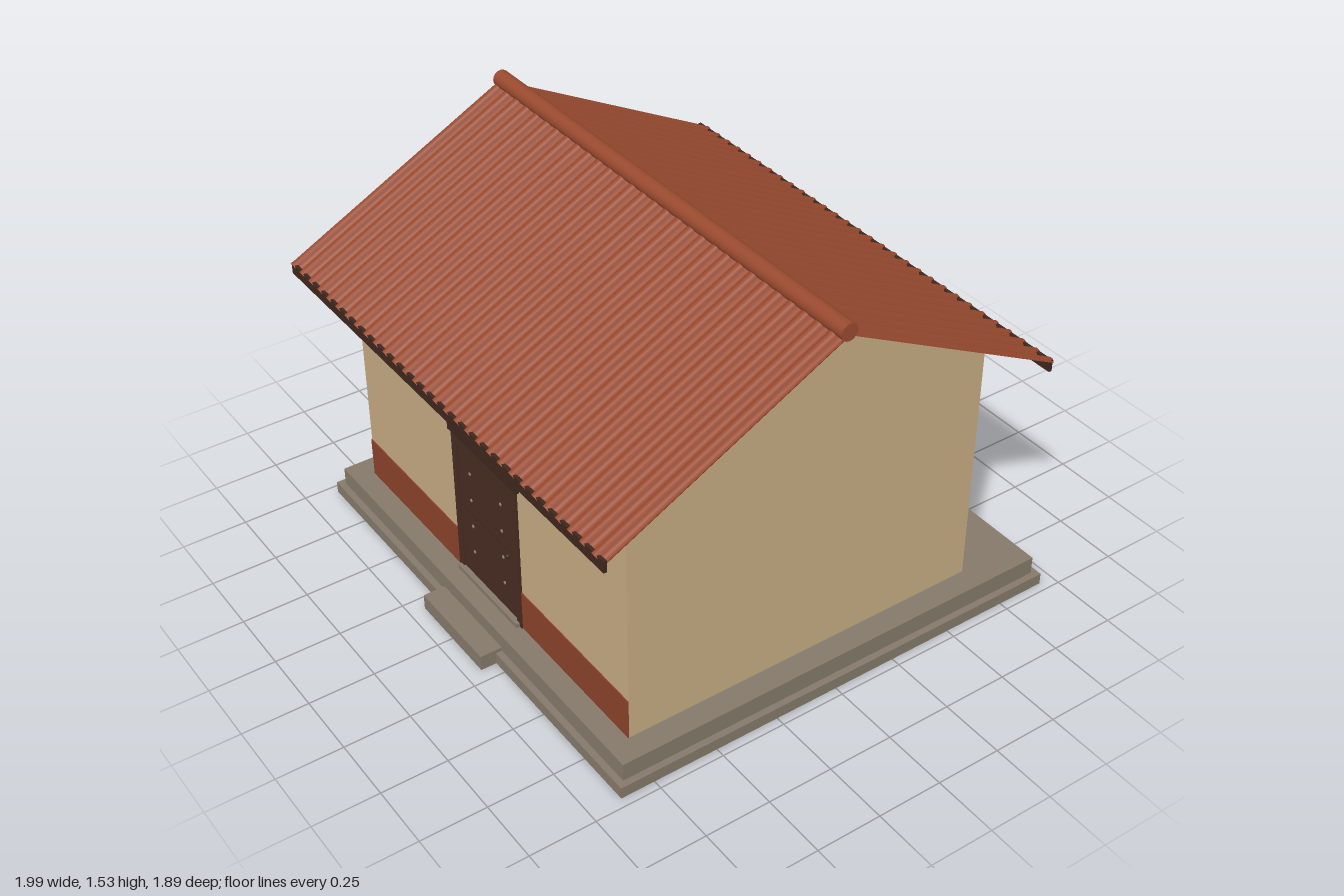
import * as THREE from 'three';

const material = (name, color, side = THREE.FrontSide) => {
  const m = new THREE.MeshStandardMaterial({ color, side });
  m.name = name;
  return m;
};

export function createModel() {
  const plaster = material('plaster', 0xc6ab83);
  const dado = material('dado red', 0x8c432b);
  const tile = material('roof tile', 0x994a2f, THREE.DoubleSide);
  const stone = material('stone', 0x85796a);
  const timber = material('dark timber', 0x3e271d);
  const doorWood = material('door wood', 0x472c21);
  const brass = material('brass', 0x8f7a58);

  const house = new THREE.Group();
  house.name = 'house';

  const add = (parent, name, geometry, mat) => {
    const mesh = new THREE.Mesh(geometry, mat);
    mesh.name = name;
    parent.add(mesh);
    return mesh;
  };
  // Box given by its limits on each axis
  const box = (parent, name, mat, [x0, x1], [y0, y1], [z0, z1]) => {
    const mesh = add(parent, name, new THREE.BoxGeometry(x1 - x0, y1 - y0, z1 - z0), mat);
    mesh.position.set((x0 + x1) / 2, (y0 + y1) / 2, (z0 + z1) / 2);
    return mesh;
  };

  // Stepped base and entrance step
  box(house, 'lowerPlinth', stone, [-0.965, 0.965], [0, 0.045], [-0.94, 0.88]);
  box(house, 'upperPlinth', stone, [-0.94, 0.94], [0.045, 0.115], [-0.915, 0.855]);
  box(house, 'entranceStep', stone, [-0.195, 0.195], [0, 0.06], [0.855, 0.94]);
  box(house, 'threshold', stone, [-0.195, 0.195], [0.115, 0.133], [0.76, 0.793]);

  // Walls with gables, extruded along x
  const ridgeZ = 0.055, slope = 0.517, ridgeY = 1.478;
  const half = 0.715, eaveY = ridgeY - slope * half;
  const gable = new THREE.Shape([
    new THREE.Vector2(-half, 0.115), new THREE.Vector2(half, 0.115),
    new THREE.Vector2(half, eaveY), new THREE.Vector2(0, ridgeY), new THREE.Vector2(-half, eaveY),
  ]);
  const wallGeometry = new THREE.ExtrudeGeometry(gable, { depth: 1.7, bevelEnabled: false });
  wallGeometry.translate(0, 0, -0.85).rotateY(Math.PI / 2);
  add(house, 'walls', wallGeometry, plaster).position.z = ridgeZ;

  // Painted dado on both sides of the door
  for (const s of [-1, 1]) {
    const xs = s < 0 ? [-0.85, -0.2] : [0.2, 0.85];
    box(house, 'dado', dado, xs, [0.115, 0.275], [0.768, 0.774]);
  }

  // Door, frame, studs and handle
  const door = new THREE.Group();
  door.name = 'door';
  house.add(door);
  box(door, 'doorLeaf', doorWood, [-0.178, 0.178], [0.125, 0.717], [0.765, 0.773]);
  for (const s of [-1, 1]) {
    box(door, 'doorJamb', doorWood, [s * 0.192 - 0.015, s * 0.192 + 0.015], [0.115, 0.717], [0.765, 0.779]);
  }
  box(door, 'lintel', timber, [-0.222, 0.222], [0.715, 0.755], [0.765, 0.783]);
  box(door, 'middleRail', timber, [-0.178, 0.178], [0.414, 0.42], [0.77, 0.7745]);
  for (let row = 0; row < 4; row++) {
    for (const s of [-1, 1]) {
      const stud = add(door, 'stud', new THREE.SphereGeometry(0.007, 10, 6), brass);
      stud.position.set(s * 0.1, 0.245 + row * 0.115, 0.774);
      stud.scale.z = 0.6;
    }
  }
  add(door, 'handle', new THREE.SphereGeometry(0.009, 12, 8), timber).position.set(0.135, 0.39, 0.777);

  // Vents high on the back wall
  for (const x of [-0.57, -0.19, 0.19, 0.57]) {
    box(house, 'vent', timber, [x - 0.06, x + 0.06], [0.875, 0.92], [-0.667, -0.655]);
  }

  // Roof: two corrugated slopes, fascias and a round ridge cap
  const roof = new THREE.Group();
  roof.name = 'roof';
  roof.position.z = ridgeZ;
  house.add(roof);
  const angle = Math.atan(slope), run = 0.884, rows = 30, height = 0.012;
  const makeSlope = () => {
    const g = new THREE.PlaneGeometry(1.99, run / Math.cos(angle), rows * 12, 1);
    const p = g.attributes.position;
    // Alternate raised cover tiles and sunken channel tiles
    for (let i = 0; i < p.count; i++) {
      const t = ((p.getX(i) / 1.99 + 0.5) * rows * 2) % 2;
      const u = (t % 1) * 2 - 1;
      const arc = Math.sqrt(Math.max(0, 1 - u * u));
      p.setZ(i, height + (t < 1 ? arc : -arc) * height);
    }
    g.computeVertexNormals();
    return g.rotateX(angle - Math.PI / 2).translate(0, ridgeY - slope * run / 2, run / 2);
  };
  for (const [name, turn] of [['frontSlope', 0], ['backSlope', Math.PI]]) {
    const side = new THREE.Group();
    side.name = name;
    side.rotation.y = turn;
    roof.add(side);
    add(side, 'tiles', makeSlope(), tile);
    box(side, 'fascia', timber, [-0.992, 0.992], [0.998, 1.042], [0.877, 0.889]);
  }
  const cap = add(roof, 'ridgeCap', new THREE.CylinderGeometry(0.032, 0.032, 1.99, 16), tile);
  cap.rotation.z = Math.PI / 2;
  cap.position.y = 1.502;

  return house;
}
